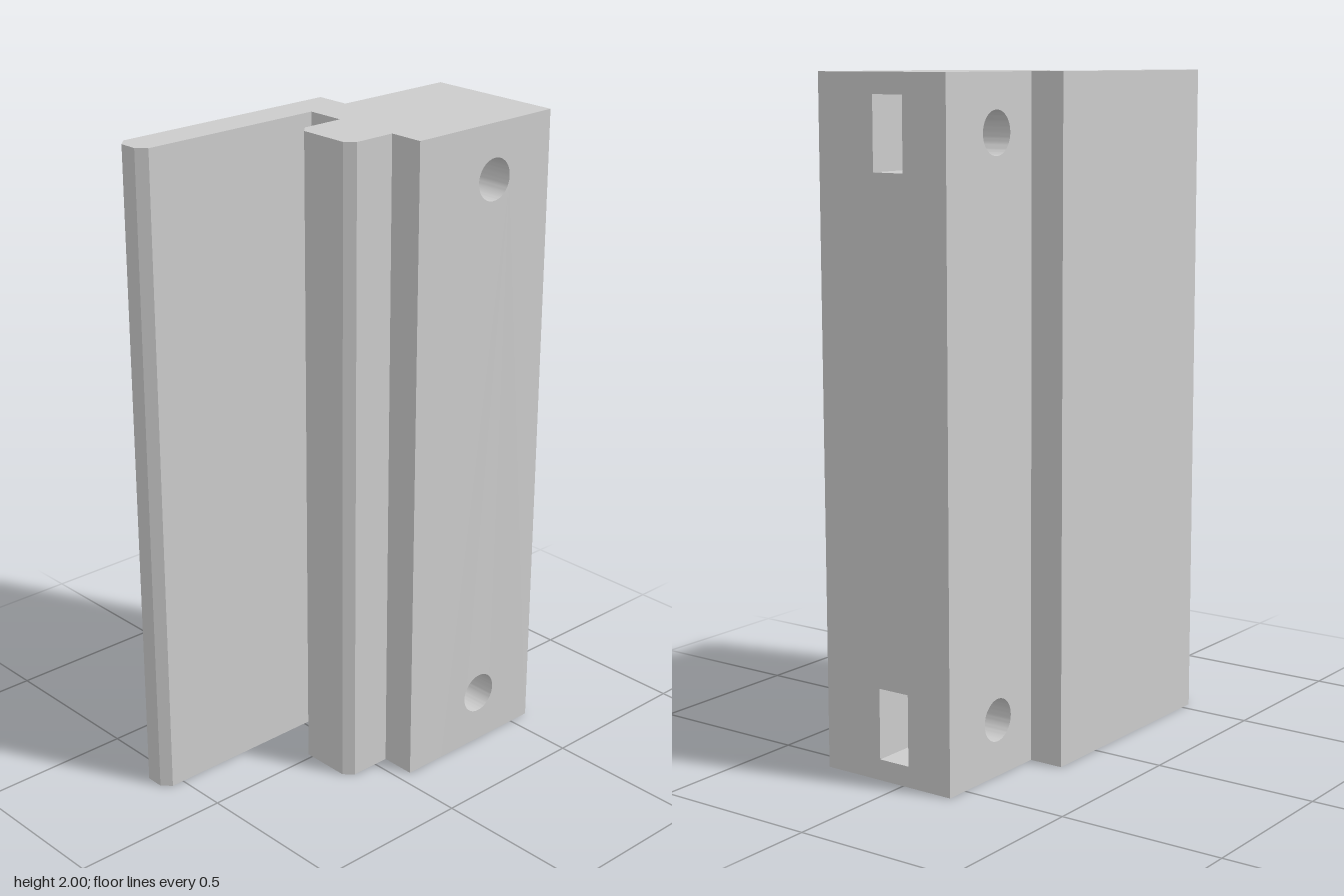
import * as THREE from 'three';
import { toCreasedNormals } from 'three/addons/utils/BufferGeometryUtils.js';

const HEIGHT = 2;
const BACK = 0.57, JOIN = 0.18;          // distances behind the centre
const HOLE = { u: 0.344, r: 0.063, ys: [0.167, 1.835] };
const SLOT = { depthEnd: 0.24, half: 0.105, x0: -0.02, x1: 0.083 };

const polygon = (points) => new THREE.Shape(points.map(([x, y]) => new THREE.Vector2(x, y)));

function extrude(shape, depth) {
  const geometry = new THREE.ExtrudeGeometry(shape, { depth, bevelEnabled: false, curveSegments: 32 });
  return toCreasedNormals(geometry, 0.6);
}

export function createModel() {
  const model = new THREE.Group();
  model.name = 'slottedRail';
  const grey = new THREE.MeshStandardMaterial({ color: 0xcccccc });
  grey.name = 'light grey';

  const add = (geometry, name) => {
    const mesh = new THREE.Mesh(geometry, grey);
    mesh.name = name;
    model.add(mesh);
  };

  // Front profile: long chamfered flange, web and short chamfered rib
  const profile = [
    [-0.275, -0.18], [-0.275, 0.54], [-0.248, 0.567], [-0.192, 0.567], [-0.165, 0.54],
    [-0.165, -0.045], [-0.045, -0.045], [-0.045, 0.087], [-0.018, 0.114],
    [0.139, 0.114], [0.166, 0.087], [0.166, -0.045], [0.275, -0.045], [0.275, -0.18],
  ].map(([x, z]) => [x, -z]);
  add(extrude(polygon(profile), HEIGHT).rotateX(-Math.PI / 2), 'flangeAndRib');

  // Rear block is layered across x; layer shapes are drawn as (-z, y)
  const addLayer = (shape, x0, x1, name) =>
    add(extrude(shape, x1 - x0).rotateY(Math.PI / 2).translate(x0, 0, 0), name);

  // Outer layers with round bolt holes
  const drilledPlate = () => {
    const shape = polygon([[JOIN, 0], [BACK, 0], [BACK, HEIGHT], [JOIN, HEIGHT]]);
    for (const y of HOLE.ys) {
      shape.holes.push(new THREE.Path().absarc(HOLE.u, y, HOLE.r, 0, Math.PI * 2, true));
    }
    return shape;
  };
  addLayer(drilledPlate(), -0.168, SLOT.x0, 'rightBlockSide');
  addLayer(drilledPlate(), SLOT.x1, 0.275, 'leftBlockSide');

  // Middle layer with nut slots open to the back
  const outline = [[JOIN, 0], [BACK, 0]];
  for (const y of HOLE.ys) {
    const low = y - SLOT.half, high = y + SLOT.half;
    outline.push([BACK, low], [SLOT.depthEnd, low], [SLOT.depthEnd, high], [BACK, high]);
  }
  outline.push([BACK, HEIGHT], [JOIN, HEIGHT]);
  addLayer(polygon(outline), SLOT.x0, SLOT.x1, 'blockCoreWithNutSlots');

  return model;
}
